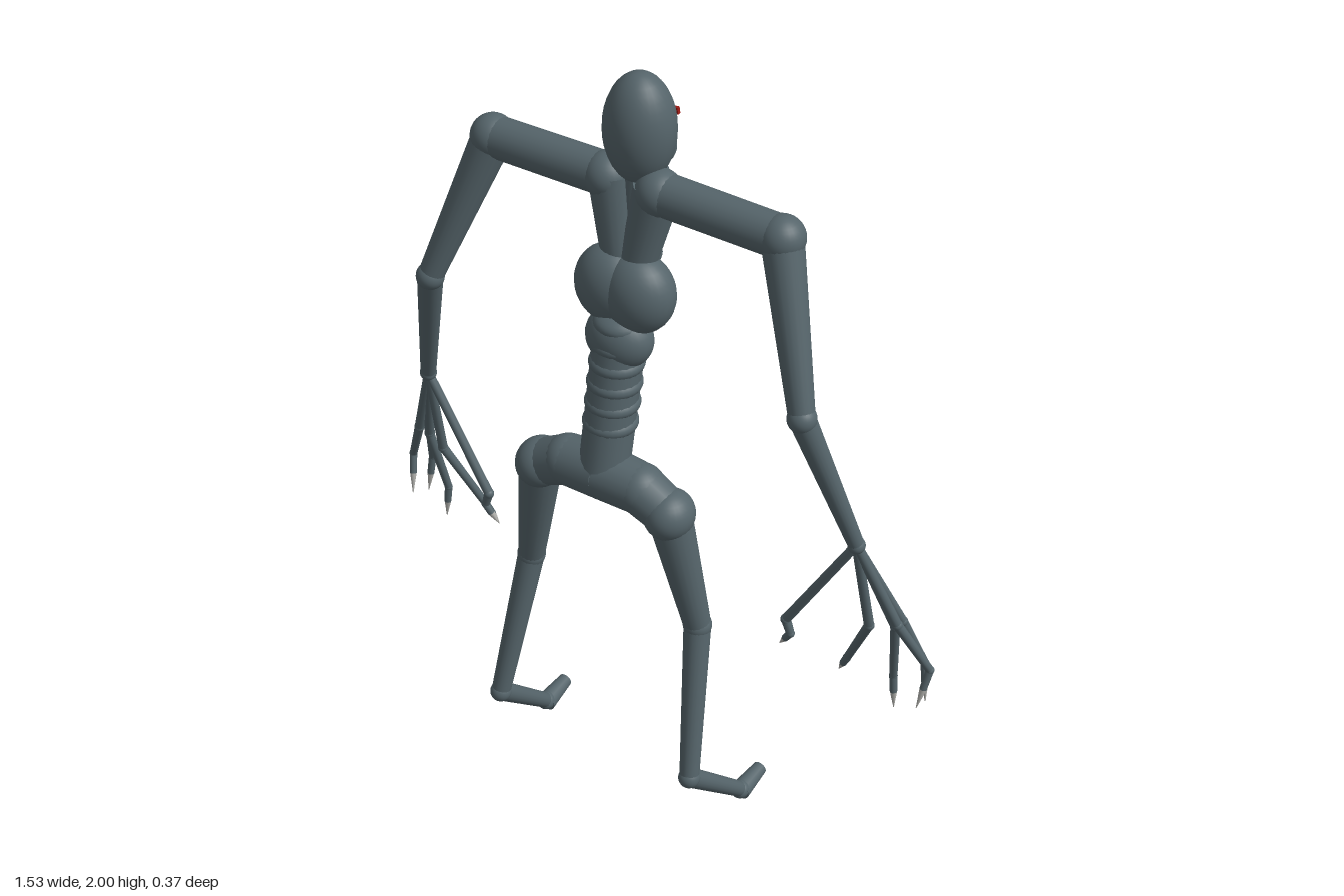
import * as THREE from 'three';

const skin = new THREE.MeshStandardMaterial({ color: 0x55646a });
skin.name = 'slate skin';
const claw = new THREE.MeshStandardMaterial({ color: 0xb4b4b0 });
claw.name = 'pale claw';
const red = new THREE.MeshStandardMaterial({ color: 0x9c1a14 });
red.name = 'red eye';

const UP = new THREE.Vector3(0, 1, 0);

// Ellipsoid at p with radii r = [x, y, z] or one number
function ball(parent, name, p, r) {
  const m = new THREE.Mesh(new THREE.SphereGeometry(1, 28, 18), skin);
  m.name = name;
  m.position.set(...p);
  if (Array.isArray(r)) m.scale.set(...r);
  else m.scale.setScalar(r);
  parent.add(m);
  return m;
}

// Tapered limb from a to b
function limb(parent, name, a, b, ra, rb, mat = skin, sides = 20) {
  const A = new THREE.Vector3(...a), B = new THREE.Vector3(...b);
  const d = B.clone().sub(A);
  const m = new THREE.Mesh(new THREE.CylinderGeometry(rb, ra, d.length(), sides), mat);
  m.name = name;
  m.position.copy(A).addScaledVector(d, 0.5);
  m.quaternion.setFromUnitVectors(UP, d.normalize());
  parent.add(m);
  return m;
}

function part(parent, name) {
  const g = new THREE.Group();
  g.name = name;
  parent.add(g);
  return g;
}

// Finger paths: knuckle, second joint, claw tip (for the +x hand)
const FINGERS = [
  ['thumb', [0.43, 0.685, -0.022], [0.443, 0.645, -0.024], [0.412, 0.597, -0.03]],
  ['firstFinger', [0.617, 0.71, -0.085], [0.533, 0.525, -0.145], [0.505, 0.465, -0.16]],
  ['secondFinger', [0.675, 0.72, -0.105], [0.657, 0.525, -0.15], [0.665, 0.43, -0.148]],
  ['thirdFinger', [0.685, 0.73, -0.12], [0.724, 0.58, -0.175], [0.737, 0.47, -0.168]],
  ['fourthFinger', [0.69, 0.745, -0.085], [0.757, 0.6, -0.138], [0.743, 0.495, -0.11]],
];

function addHand(parent, wrist, flip) {
  const hand = part(parent, 'hand');
  for (const [name, k, j, t] of FINGERS) {
    const finger = part(hand, name);
    const [K, J, T] = [k, j, t].map(flip);
    // The claw covers the outer part of the last joint
    const base = J.map((v, i) => v + (T[i] - v) * 0.5);
    limb(finger, 'palmBone', wrist, K, 0.011, 0.012, skin, 12);
    ball(finger, 'knuckle', K, 0.013);
    limb(finger, 'fingerBone', K, J, 0.012, 0.01, skin, 12);
    ball(finger, 'fingerJoint', J, 0.0105);
    limb(finger, 'fingerEnd', J, base, 0.01, 0.009, skin, 12);
    limb(finger, 'claw', base, T, 0.0088, 0.001, claw, 12);
  }
}

function addArm(parent, s) {
  const flip = ([x, y, z]) => [x * s, y, z];
  const arm = part(parent, s > 0 ? 'leftArm' : 'rightArm');
  const inner = flip([0.068, 1.735, -0.02]), shoulder = flip([0.38, 1.73, -0.022]);
  const elbow = flip([0.503, 1.36, 0.075]), wrist = flip([0.603, 0.985, -0.024]);
  ball(arm, 'collarJoint', inner, 0.056);
  limb(arm, 'shoulderBar', inner, shoulder, 0.05, 0.049);
  ball(arm, 'shoulder', shoulder, 0.053);
  limb(arm, 'upperArm', shoulder, elbow, 0.048, 0.03);
  ball(arm, 'elbow', elbow, 0.034);
  limb(arm, 'forearm', elbow, wrist, 0.031, 0.019);
  ball(arm, 'wrist', wrist, 0.021);
  addHand(arm, wrist, flip);
}

function addLeg(parent, s) {
  const flip = ([x, y, z]) => [x * s, y, z];
  const leg = part(parent, s > 0 ? 'leftLeg' : 'rightLeg');
  const hip = flip([0.18, 0.97, 0.1]), knee = flip([0.24, 0.64, 0.065]);
  const hock = flip([0.281, 0.235, 0.155]), sole = flip([0.298, 0.032, -0.06]);
  ball(leg, 'hip', hip, [0.06, 0.062, 0.065]);
  limb(leg, 'thigh', hip, knee, 0.053, 0.033);
  ball(leg, 'knee', knee, 0.035);
  limb(leg, 'shin', knee, hock, 0.033, 0.024);
  ball(leg, 'hock', hock, 0.027);
  limb(leg, 'footBone', hock, sole, 0.025, 0.02);
  ball(leg, 'footJoint', sole, 0.024);
  limb(leg, 'toe', flip([0.298, 0.026, -0.06]), flip([0.3, 0.034, -0.152]), 0.026, 0.018);
}

export function createModel() {
  const model = new THREE.Group();
  model.name = 'lankyCreature';

  // Head, jaw and eyes
  const head = part(model, 'head');
  ball(head, 'skull', [0, 1.865, -0.045], [0.084, 0.135, 0.081]);
  ball(head, 'jaw', [0, 1.79, -0.108], 0.048);
  for (const s of [-1, 1]) {
    const eye = new THREE.Mesh(new THREE.BoxGeometry(0.03, 0.016, 0.009), red);
    eye.name = s > 0 ? 'leftEye' : 'rightEye';
    eye.position.set(0.033 * s, 1.88, -0.127);
    eye.rotation.z = s * 0.15;
    head.add(eye);
  }

  // Chest and belly
  const torso = part(model, 'torso');
  for (const s of [-1, 1]) {
    limb(torso, 'chestSide', [0.06 * s, 1.74, -0.025], [0.022 * s, 1.53, 0.0], 0.055, 0.04);
    ball(torso, 'ribBulge', [0.036 * s, 1.48, 0.012], [0.09, 0.098, 0.075]);
  }
  limb(torso, 'neck', [0, 1.8, -0.05], [0, 1.6, -0.04], 0.045, 0.045);

  // Overlapping beads down the breast
  const breast = [[1.725, -0.088], [1.665, -0.08], [1.605, -0.064], [1.55, -0.048], [1.495, -0.03]];
  breast.forEach(([y, z], i) => ball(torso, 'breastBead', [0, y, z], [0.045 + i * 0.003, 0.042, 0.042]));

  // Waist with beaded rings
  ball(torso, 'upperWaist', [0, 1.36, 0.035], [0.084, 0.075, 0.066]);
  limb(torso, 'waist', [0, 1.38, 0.03], [0, 1.03, 0.1], 0.062, 0.06);
  for (let i = 0; i < 6; i++) {
    const y = 1.4 - i * 0.05;
    ball(torso, 'waistBead', [0, y, 0.028 + i * 0.009], [0.066, 0.034, 0.066]);
  }

  // Arched pelvis joining the hips
  const pelvis = part(model, 'pelvis');
  ball(pelvis, 'pelvisCentre', [0, 1.015, 0.1], [0.09, 0.068, 0.063]);
  for (const s of [-1, 1]) {
    limb(pelvis, 'pelvisSide', [0, 1.015, 0.1], [0.1 * s, 1.01, 0.1], 0.066, 0.062);
    ball(pelvis, 'pelvisBend', [0.1 * s, 1.01, 0.1], 0.062);
    limb(pelvis, 'pelvisEnd', [0.1 * s, 1.01, 0.1], [0.18 * s, 0.97, 0.1], 0.061, 0.056);
  }

  for (const s of [-1, 1]) {
    addArm(model, s);
    addLeg(model, s);
  }
  return model;
}
